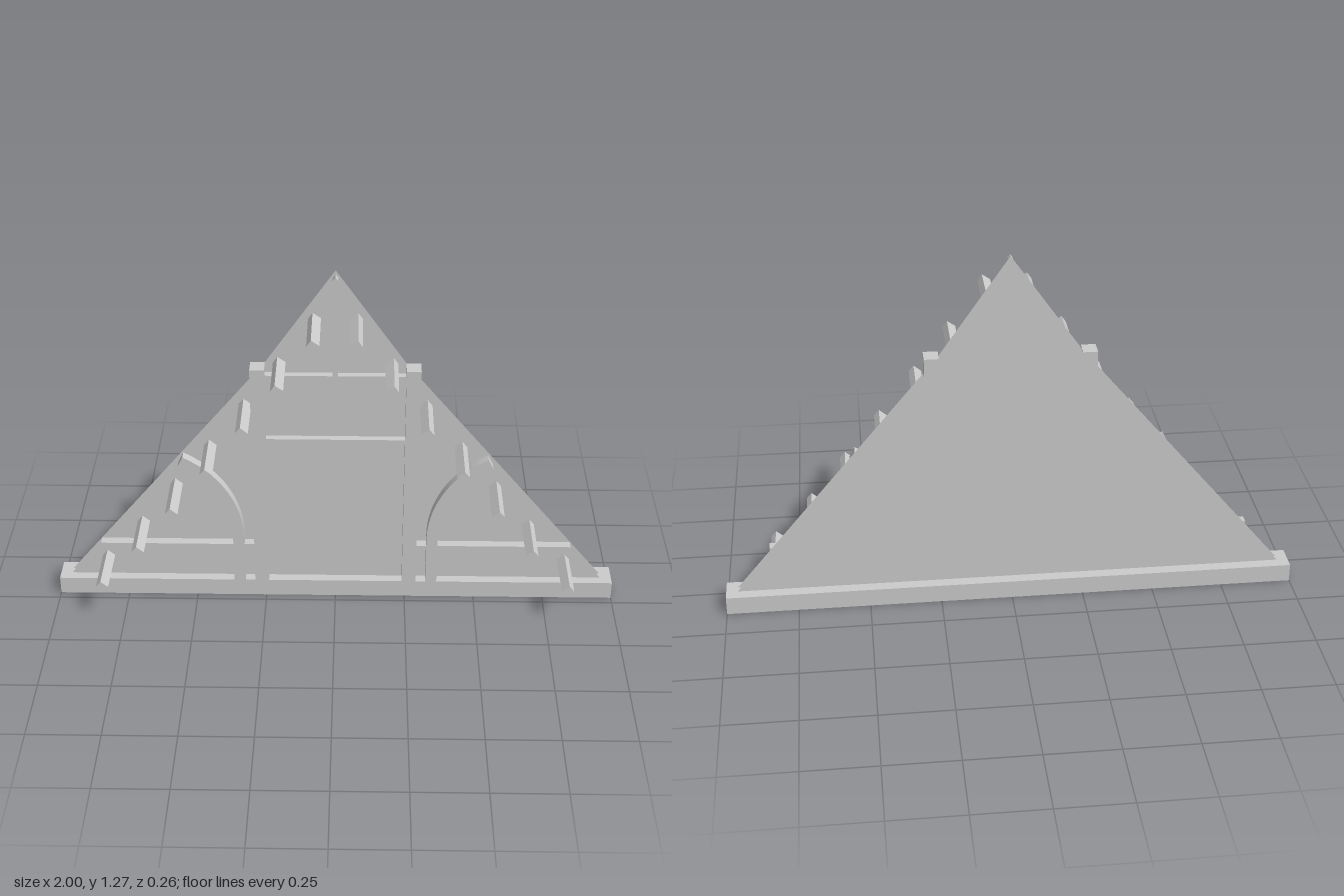
import * as THREE from 'three';

const material = new THREE.MeshStandardMaterial({ color: 0xcccccc, flatShading: true });
const sheetMaterial = new THREE.MeshStandardMaterial({ color: 0xcccccc, side: THREE.DoubleSide });

export function createModel() {
  const group = new THREE.Group();

  const add = (name, geometry, mat = material) => {
    const mesh = new THREE.Mesh(geometry, mat);
    mesh.name = name;
    group.add(mesh);
    return mesh;
  };

  // Box given by its limits on each axis
  const box = (name, x0, x1, y0, y1, z0, z1) =>
    add(name, new THREE.BoxGeometry(x1 - x0, y1 - y0, z1 - z0))
      .position.set((x0 + x1) / 2, (y0 + y1) / 2, (z0 + z1) / 2);

  const extrude = (name, shape, z0, z1) =>
    add(name, new THREE.ExtrudeGeometry(shape, { depth: z1 - z0, bevelEnabled: false, curveSegments: 16 }))
      .position.z = z0;

  // Base beam
  box('baseBeam', -1, 1, 0, 0.065, -0.13, -0.03);

  // Gable wall: front and back skins with a slightly steeper peak
  const outline = [[-0.96, 0.065], [0.96, 0.065], [0.24, 0.93], [0, 1.275], [-0.24, 0.93]];
  const wall = new THREE.Shape(outline.map(([x, y]) => new THREE.Vector2(x, y)));
  add('wallFront', new THREE.ShapeGeometry(wall), sheetMaterial).position.z = -0.065;
  const back = add('wallBack', new THREE.ShapeGeometry(wall), sheetMaterial);
  back.rotation.y = Math.PI;
  back.position.z = -0.09;

  // Crossbars between the main posts
  box('upperCrossbar', -0.24, 0.24, 0.86, 0.905, -0.065, -0.04);
  box('lowerCrossbar', -0.24, 0.24, 0.635, 0.655, -0.065, -0.04);

  // King post with a pointed top
  const king = new THREE.Shape([[-0.009, 0.905], [0.009, 0.905], [0.009, 1.26], [0, 1.272], [-0.009, 1.26]]
    .map(([x, y]) => new THREE.Vector2(x, y)));
  extrude('kingPost', king, -0.065, -0.04);

  // Roof battens, from eave to peak
  const battens = [[0.82, 0.145], [0.685, 0.295], [0.56, 0.455], [0.435, 0.615], [0.31, 0.78], [0.19, 0.943], [0.07, 1.11]];

  for (const s of [-1, 1]) {
    const span = (a, b) => (s > 0 ? [a, b] : [-b, -a]);

    // Main post and rail
    box('mainPost', ...span(0.24, 0.29), 0.065, 0.93, -0.09, -0.03);
    box('sideRail', ...span(0.29, 0.84), 0.203, 0.22, -0.065, -0.032);

    // Curved brace: upright leg that bends out to the roof edge
    const cx = 0.697, cy = 0.25, end = THREE.MathUtils.degToRad(63.5);
    const from = s > 0 ? Math.PI : 0;
    const to = s > 0 ? Math.PI - end : end;
    const brace = new THREE.Shape();
    brace.moveTo(s * 0.365, 0.065);
    brace.lineTo(s * 0.325, 0.065);
    brace.absarc(s * cx, cy, 0.372, from, to, s > 0);
    brace.absarc(s * cx, cy, 0.332, to, from, s < 0);
    brace.closePath();
    extrude('curvedBrace', brace, -0.065, -0.03);

    // Battens stand square to the roof slope
    battens.forEach(([x, y], i) => {
      const slope = i < 5 ? Math.atan(1.2) : Math.atan(1.45);
      const batten = add('roofBatten', new THREE.BoxGeometry(0.027, 0.034, 0.222));
      batten.position.set(s * x, y, 0.021);
      batten.rotation.z = -s * slope;
    });
  }

  return group;
}
